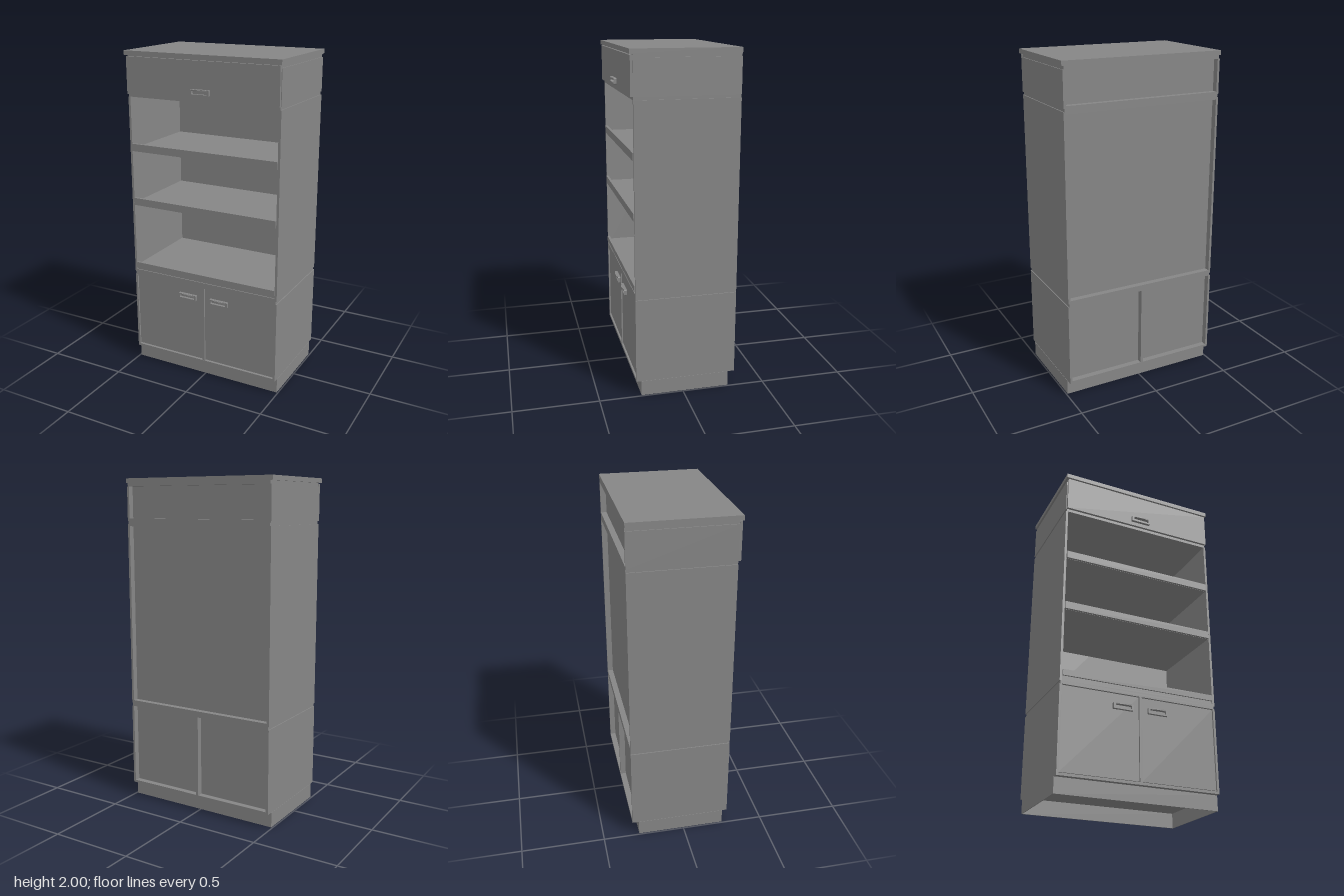
import * as THREE from 'three';

const material = new THREE.MeshStandardMaterial({ color: 0x868686 });

// Board given by its minimum and maximum corners
function board(parent, name, [x0, x1], [y0, y1], [z0, z1]) {
  const mesh = new THREE.Mesh(new THREE.BoxGeometry(x1 - x0, y1 - y0, z1 - z0), material);
  mesh.position.set((x0 + x1) / 2, (y0 + y1) / 2, (z0 + z1) / 2);
  mesh.name = name;
  parent.add(mesh);
}

// Range from a to b on the left (s = 1), mirrored on the right (s = -1)
const mirrored = (s, a, b) => (s > 0 ? [a, b] : [-b, -a]);

const W = 0.49;               // half width of the carcass
const INNER = W - 0.014;      // inside face of the side boards
const BACK = -0.32, FRONT = 0.28;

// Section of the case: two sides and a deeply inset back
function section(name, y0, y1) {
  const g = new THREE.Group();
  g.name = name;
  for (const s of [-1, 1]) {
    board(g, s < 0 ? 'rightSide' : 'leftSide', mirrored(s, INNER, W), [y0, y1], [BACK, FRONT]);
  }
  board(g, 'backPanel', [-INNER, INNER], [y0, y1], [-0.285, -0.275]);
  return g;
}

// Rounded rectangle outline, centred on the origin
function roundedRect(path, w, h, r) {
  const x = w / 2, y = h / 2;
  path.moveTo(-x + r, -y).lineTo(x - r, -y).quadraticCurveTo(x, -y, x, -y + r);
  path.lineTo(x, y - r).quadraticCurveTo(x, y, x - r, y);
  path.lineTo(-x + r, y).quadraticCurveTo(-x, y, -x, y - r);
  path.lineTo(-x, -y + r).quadraticCurveTo(-x, -y, -x + r, -y);
  return path;
}

function extrude(parent, name, shape, depth) {
  const geometry = new THREE.ExtrudeGeometry(shape, { depth, bevelEnabled: false, curveSegments: 8 });
  const mesh = new THREE.Mesh(geometry, material);
  mesh.name = name;
  parent.add(mesh);
  return mesh;
}

// Recessed pull: framed plate with a bowed finger lip along the top
function handle(name, x, y, z) {
  const g = new THREE.Group();
  g.name = name;
  const outline = roundedRect(new THREE.Shape(), 0.124, 0.036, 0.005);
  outline.holes.push(roundedRect(new THREE.Path(), 0.1, 0.018, 0.003));
  extrude(g, 'handleFrame', outline, 0.017);

  const bow = new THREE.Shape();
  bow.moveTo(-0.05, 0).lineTo(0.05, 0).lineTo(0.05, 0.017);
  bow.quadraticCurveTo(0, 0.031, -0.05, 0.017).lineTo(-0.05, 0);
  const lip = extrude(g, 'handleLip', bow, 0.008);
  lip.rotation.x = Math.PI / 2;
  lip.position.y = 0.017;

  g.position.set(x, y, z);
  return g;
}

export function createModel() {
  const model = new THREE.Group();
  model.name = 'cabinet';

  // Hollow plinth of thin boards
  const plinth = new THREE.Group();
  plinth.name = 'plinth';
  const P = W + 0.002, thin = 0.005;
  board(plinth, 'plinthFront', [-P, P], [0, 0.09], [0.25 - thin, 0.25]);
  board(plinth, 'plinthBack', [-P, P], [0, 0.09], [-0.28, -0.28 + thin]);
  for (const s of [-1, 1]) {
    board(plinth, 'plinthSide', mirrored(s, P - thin, P), [0, 0.09], [-0.28 + thin, 0.25 - thin]);
  }
  model.add(plinth);

  // Lower cupboard with divider and two slightly recessed doors
  const lower = section('lowerCupboard', 0.09, 0.598);
  board(lower, 'floor', [-INNER, INNER], [0.09, 0.105], [BACK, FRONT]);
  board(lower, 'divider', [-0.008, 0.008], [0.105, 0.598], [BACK, FRONT - 0.001]);
  for (const s of [-1, 1]) {
    board(lower, 'door', mirrored(s, 0.009, INNER - 0.001), [0.11, 0.596], [0.256, 0.271]);
    lower.add(handle('doorHandle', s * 0.108, 0.522, 0.271));
  }
  model.add(lower);

  // Open middle section; each shelf sits low behind a raised front lip
  const middle = section('openSection', 0.617, 1.732);
  board(middle, 'floor', [-INNER, INNER], [0.617, 0.635], [BACK, FRONT]);
  for (const [y0, y1] of [[0.65, 0.685], [1.065, 1.11], [1.405, 1.45]]) {
    board(middle, 'shelf', [-INNER, INNER], [y0 - 0.001, y0 + 0.014], [-0.28, 0.27]);
    board(middle, 'shelfLip', [-INNER + 0.003, INNER - 0.003], [y0, y1], [0.269, 0.284]);
  }
  board(middle, 'floorRail', [-INNER, INNER], [0.635, 0.65], [0.26, 0.274]);
  board(middle, 'backTopRail', [-INNER, INNER], [1.718, 1.732], [BACK, -0.285]);
  model.add(middle);

  // Upper drawer case with its overlapping front
  const upper = section('drawerCase', 1.75, 1.953);
  board(upper, 'backBottomRail', [-INNER, INNER], [1.75, 1.764], [BACK, -0.285]);
  board(upper, 'drawerFront', [-W + 0.004, W - 0.004], [1.75, 1.967], [FRONT, 0.295]);
  upper.add(handle('drawerHandle', 0.006, 1.792, 0.295));
  model.add(upper);

  // Boards between the sections, set in a little at the sides
  for (const [y0, y1] of [[0.598, 0.617], [1.732, 1.75], [1.953, 1.973]]) {
    board(model, 'jointBoard', [-W + 0.006, W - 0.006], [y0, y1], [BACK, FRONT]);
  }

  // Overhanging top
  board(model, 'topSlab', [-0.496, 0.496], [1.973, 2], [BACK, 0.3]);
  return model;
}
